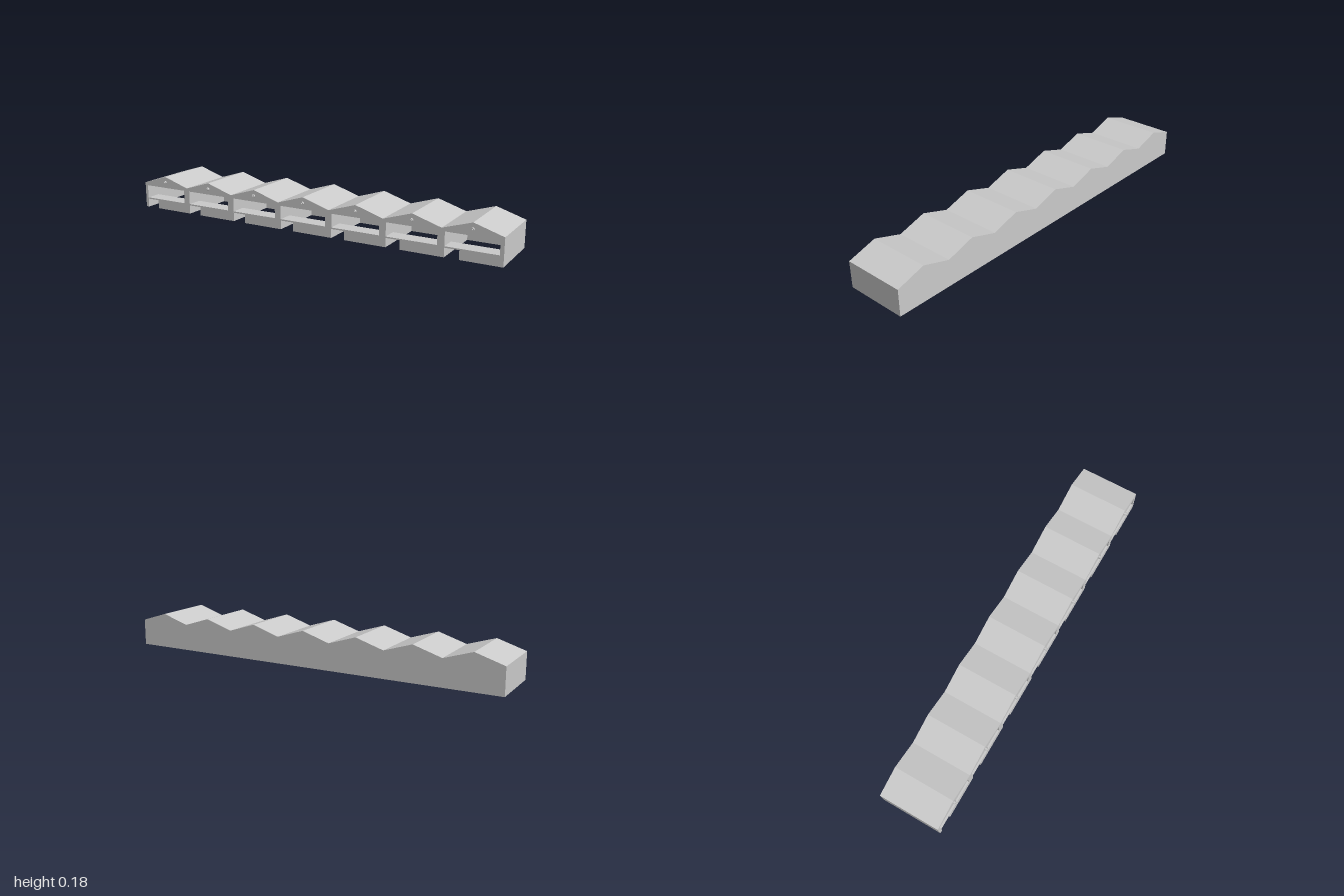
import * as THREE from 'three';

const N = 7, W = 2 / N;                       // stalls and stall width
const EAVE = 0.135, RIDGE = 0.18, CEIL = 0.12;
const FRONT = 0.15, BACK = -0.163, T = 0.015; // wall planes and thickness
const IN_L = 0.016, IN_R = 0.267;             // clear interior span within a stall
const DOOR_W = 0.07, DOOR_H = 0.045, SILL = 0.052, SHELF_D = 0.065;

const stallX = (i) => -1 + i * W;

// Zigzag outline of the row, with optional door notches in the bottom edge
function outline(base, doors) {
  const s = new THREE.Shape();
  s.moveTo(-1, base);
  if (doors) {
    for (let i = 0; i < N; i++) {
      const a = stallX(i) + IN_L, b = a + DOOR_W;
      s.lineTo(a, 0);
      s.lineTo(a, DOOR_H);
      s.lineTo(b, DOOR_H);
      s.lineTo(b, 0);
    }
  }
  s.lineTo(1, base);
  for (let i = N - 1; i >= 0; i--) {
    s.lineTo(stallX(i + 1), EAVE);
    s.lineTo(stallX(i) + W / 2, RIDGE);
  }
  s.lineTo(-1, EAVE);
  s.closePath();
  return s;
}

export function createModel() {
  const model = new THREE.Group();
  model.name = 'stallRow';
  const mat = new THREE.MeshStandardMaterial({ color: 0xcccccc });

  const add = (name, geo, parent = model) => {
    const mesh = new THREE.Mesh(geo, mat);
    mesh.name = name;
    parent.add(mesh);
    return mesh;
  };
  const slab = (name, shape, z0, z1) =>
    add(name, new THREE.ExtrudeGeometry(shape, { depth: z1 - z0, bevelEnabled: false }).translate(0, 0, z0));
  const box = (name, x0, x1, y0, y1, z0, z1, parent) =>
    add(name, new THREE.BoxGeometry(x1 - x0, y1 - y0, z1 - z0)
      .translate((x0 + x1) / 2, (y0 + y1) / 2, (z0 + z1) / 2), parent);

  // Front wall with a serving window and a door notch per stall
  const facade = outline(0, true);
  for (let i = 0; i < N; i++) {
    const a = stallX(i) + IN_L, b = stallX(i) + IN_R;
    const hole = new THREE.Path();
    hole.moveTo(a, SILL);
    hole.lineTo(a, CEIL);
    hole.lineTo(b, CEIL);
    hole.lineTo(b, SILL);
    hole.closePath();
    facade.holes.push(hole);
  }
  slab('frontWall', facade, FRONT - T, FRONT);

  // Roof between the walls, and the plain back wall
  slab('roof', outline(CEIL, false), BACK + T, FRONT - T);
  slab('backWall', outline(0, false), BACK, BACK + T);

  // Side walls: two ends and the partitions between stalls
  for (let i = 0; i <= N; i++) {
    const x0 = i === 0 ? -1 : stallX(i - 1) + IN_R;
    const x1 = i === N ? 1 : stallX(i) + IN_L;
    box(i % N ? 'partition' : 'endWall', x0, x1, 0, CEIL, BACK + T, FRONT - T);
  }

  // Counter shelf and lamp of each stall
  for (let i = 0; i < N; i++) {
    box('counter', stallX(i) + IN_L, stallX(i) + IN_R, DOOR_H, SILL, FRONT - T - SHELF_D, FRONT - T);
    const lamp = new THREE.Group();
    lamp.name = 'lamp';
    lamp.position.set(stallX(i) + W / 2, 0.15, FRONT);
    add('lampBase', new THREE.CylinderGeometry(0.008, 0.008, 0.01, 16).rotateX(Math.PI / 2).translate(0, 0, 0.005), lamp);
    add('lampTip', new THREE.CylinderGeometry(0.004, 0.004, 0.005, 12).rotateX(Math.PI / 2).translate(0, 0, 0.0125), lamp);
    model.add(lamp);
  }
  return model;
}
